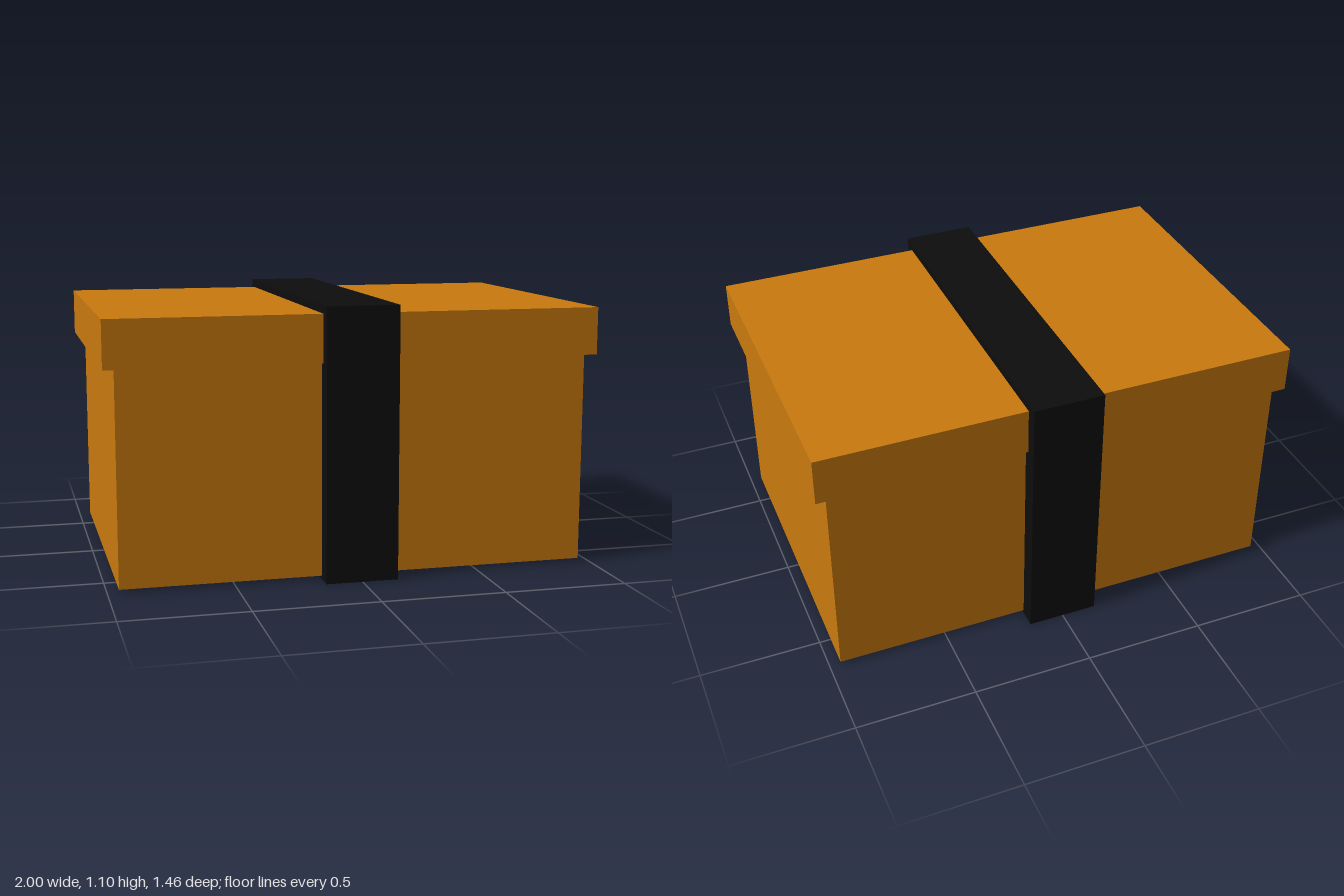
import * as THREE from 'three';

export function createModel() {
  const group = new THREE.Group();
  const cardboard = new THREE.MeshStandardMaterial({ color: 0xc97a0e });
  const ribbon = new THREE.MeshStandardMaterial({ color: 0x0d0d0d });

  // Box centred on x and z, spanning bottom to top in y
  function addBox(name, width, depth, bottom, top, material) {
    const mesh = new THREE.Mesh(new THREE.BoxGeometry(width, top - bottom, depth), material);
    mesh.name = name;
    mesh.position.y = (bottom + top) / 2;
    group.add(mesh);
  }

  // Container and its overhanging lid
  addBox('boxBody', 1.91, 1.305, 0.014, 0.875, cardboard);
  addBox('lid', 2, 1.35, 0.872, 1.065, cardboard);

  // Wide band wrapped around the middle
  addBox('ribbonBand', 0.294, 1.456, 0, 1.098, ribbon);

  return group;
}
